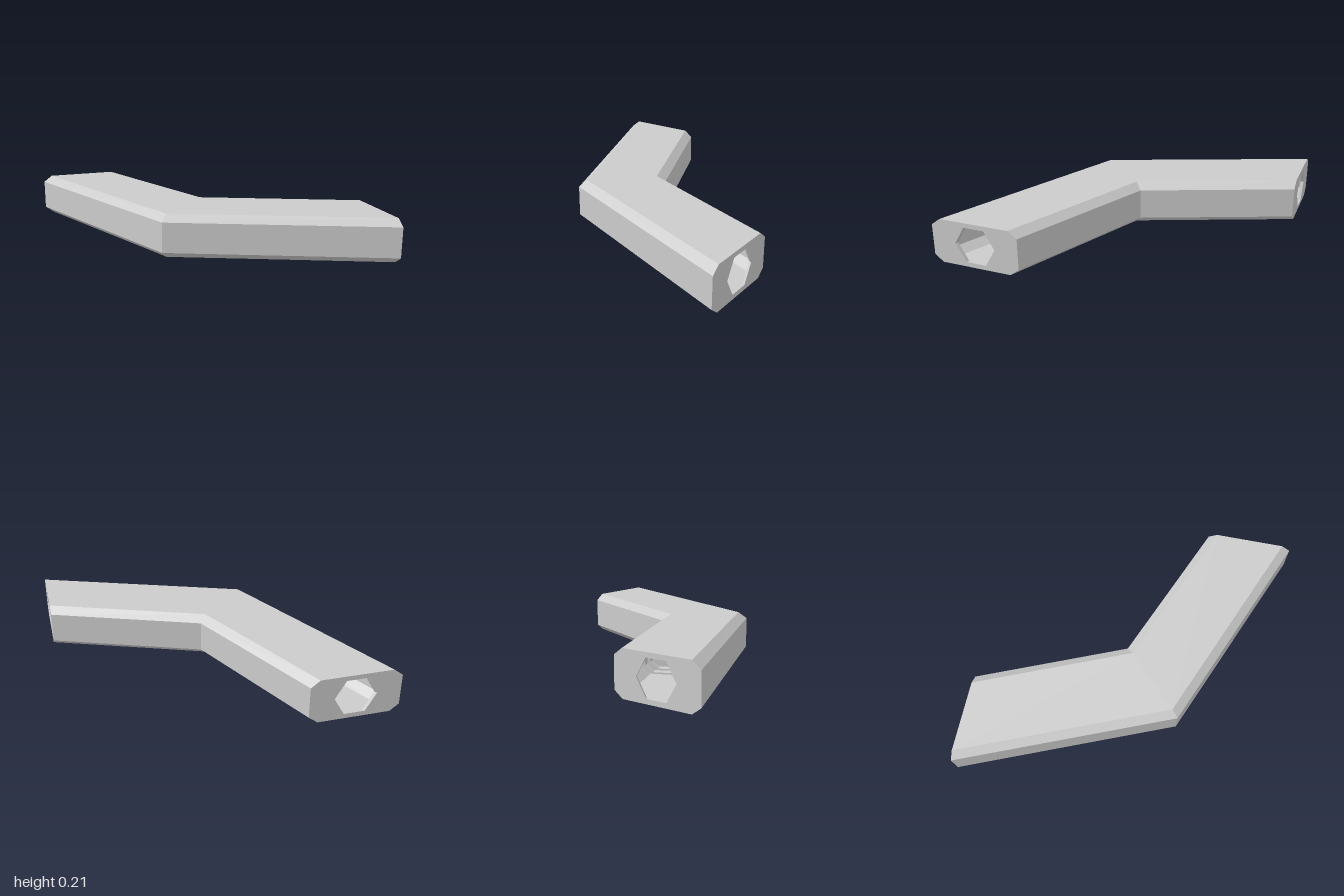
import * as THREE from 'three';

const MID_Y = 0.105;

// Point of the bent bar: t runs from end to end (-1..1), u from front edge to back edge
function barPoint(t, u, y) {
  const a = Math.abs(t);
  const frontZ = 0.36 - 0.42 * a;
  const backZ = -0.07 - 0.29 * a;
  return [t * (1 - 0.3 * u), y, frontZ + (backZ - frontZ) * u];
}

// Chamfered bar section and hexagonal opening, as [u, y]
const octagon = [
  [0, 0.032], [0, 0.178], [0.1, 0.21], [0.9, 0.21],
  [1, 0.178], [1, 0.032], [0.9, 0], [0.1, 0],
];
const hexagon = [];
for (let i = 0; i < 6; i++) {
  const a = -i * Math.PI / 3;
  hexagon.push([0.5 + 0.232 * Math.cos(a), MID_Y + 0.096 * Math.sin(a)]);
}

// Skin a profile through sections given as [t, scale]
function loft(profile, sections) {
  const positions = [];
  const at = ([t, k], i) => {
    const [u, y] = profile[i % profile.length];
    return barPoint(t, 0.5 + (u - 0.5) * k, MID_Y + (y - MID_Y) * k);
  };
  for (let s = 0; s < sections.length - 1; s++) {
    const [a, b] = [sections[s], sections[s + 1]];
    for (let i = 0; i < profile.length; i++) {
      positions.push(...at(a, i), ...at(b, i), ...at(b, i + 1));
      positions.push(...at(a, i), ...at(b, i + 1), ...at(a, i + 1));
    }
  }
  const geometry = new THREE.BufferGeometry();
  geometry.setAttribute('position', new THREE.Float32BufferAttribute(positions, 3));
  geometry.computeVertexNormals();
  return geometry;
}

// Slanted end plate with the hexagonal opening
function endPlate() {
  const toPoints = (list) => list.map(([u, y]) => new THREE.Vector2(u, y));
  const shape = new THREE.Shape(toPoints(octagon));
  shape.holes.push(new THREE.Path(toPoints(hexagon)));
  const geometry = new THREE.ShapeGeometry(shape);
  const p = geometry.attributes.position;
  for (let i = 0; i < p.count; i++) p.setXYZ(i, ...barPoint(1, p.getX(i), p.getY(i)));
  geometry.computeVertexNormals();
  return geometry;
}

export function createModel() {
  const model = new THREE.Group();
  model.name = 'bentHollowBar';
  const material = new THREE.MeshStandardMaterial({
    color: 0xcccccc, flatShading: true, side: THREE.DoubleSide,
  });
  const add = (parent, name, geometry) => {
    const mesh = new THREE.Mesh(geometry, material);
    mesh.name = name;
    parent.add(mesh);
  };

  // Outer skin, mitred at the middle
  add(model, 'outerShell', loft(octagon, [[-1, 1], [0, 1], [1, 1]]));

  // Both ends, mirrored
  for (const side of [1, -1]) {
    const end = new THREE.Group();
    end.name = side > 0 ? 'leftEnd' : 'rightEnd';
    end.scale.x = side;
    add(end, 'endPlate', endPlate());
    add(end, 'openingRim', loft(hexagon, [[1, 1], [0.985, 1]]));
    // Stepped wall closing the hollow inside the arm
    add(end, 'innerStop', loft(octagon, [
      [0.38, 0], [0.38, 0.86], [0.43, 0.86], [0.43, 0.93], [0.48, 0.93], [0.48, 1],
    ]));
    model.add(end);
  }
  return model;
}
